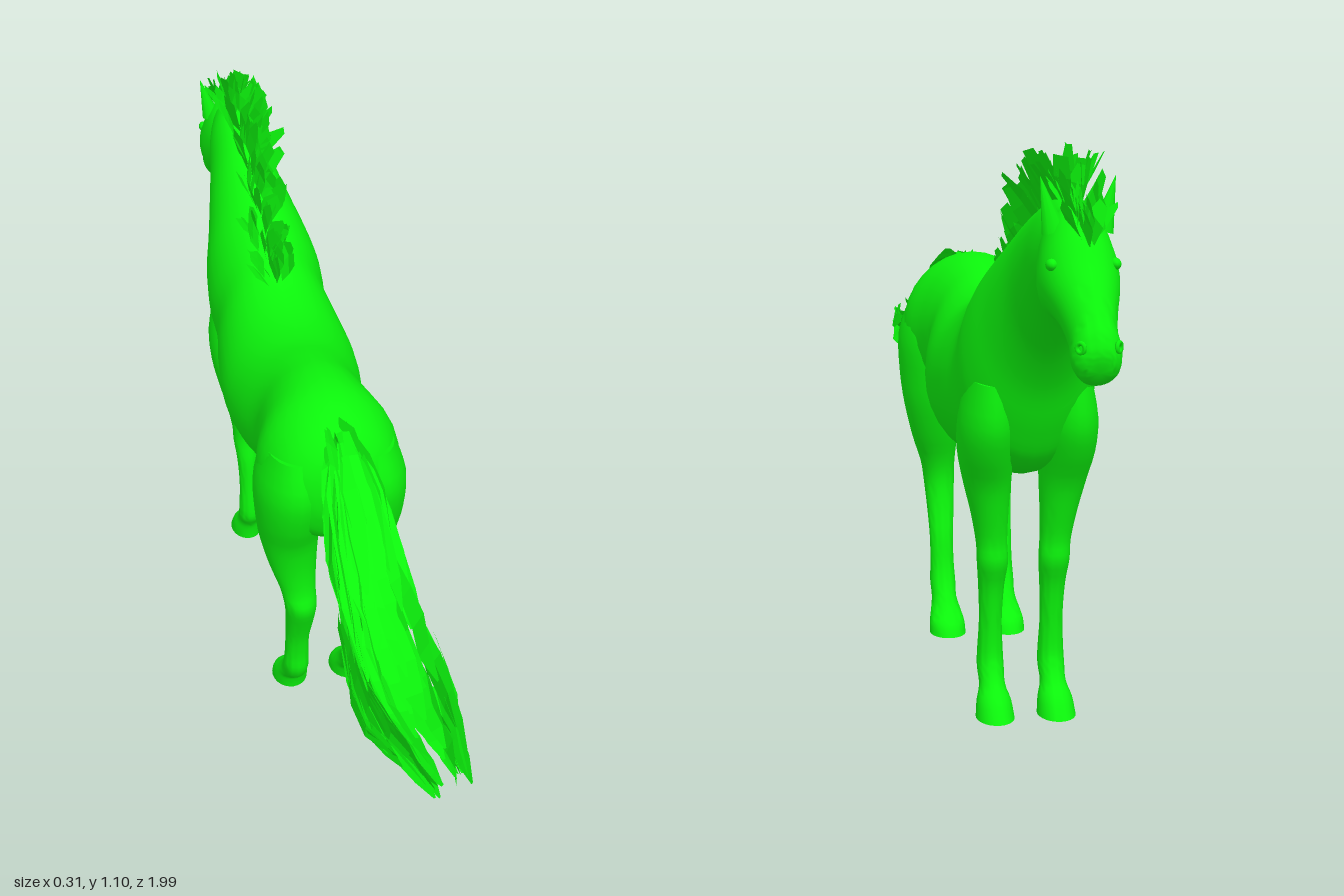
import * as THREE from 'three';
import { toCreasedNormals } from 'three/addons/utils/BufferGeometryUtils.js';

const skin = new THREE.MeshStandardMaterial({ color: 0x0cf40c });
const hair = new THREE.MeshStandardMaterial({ color: 0x0cf40c, side: THREE.DoubleSide });
const V = (x, y, z) => new THREE.Vector3(x, y, z);

function seeded(seed) {
  return () => {
    seed = (seed * 16807) % 2147483647;
    return seed / 2147483647;
  };
}

function mesh(name, geometry, material = skin) {
  const m = new THREE.Mesh(geometry, material);
  m.name = name;
  return m;
}

// Smooth loft through oval sections [zA, yA, zB, yB, halfWidth, centreX]
function loft(sections, side = 1, steps = 3, n = 24) {
  const curve = (pts) => new THREE.CatmullRomCurve3(pts, false, 'catmullrom', 0.5);
  const a = curve(sections.map((s) => V((s[5] ?? 0) * side, s[1], s[0])));
  const b = curve(sections.map((s) => V(s[4], s[3], s[2])));
  const rows = (sections.length - 1) * steps;
  const pos = [], index = [];
  const centre = (t) => {
    const p = a.getPoint(t), q = b.getPoint(t);
    return V(p.x, (p.y + q.y) / 2, (p.z + q.z) / 2);
  };
  for (let i = 0; i <= rows; i++) {
    const t = i / rows, p = a.getPoint(t), q = b.getPoint(t), c = centre(t);
    for (let j = 0; j < n; j++) {
      const ang = (j / n) * Math.PI * 2, s = Math.sin(ang);
      pos.push(c.x - q.x * Math.cos(ang), c.y + (p.y - c.y) * s, c.z + (p.z - c.z) * s);
      if (i === rows) continue;
      const k = i * n + j, l = i * n + ((j + 1) % n);
      index.push(k, l, k + n, l, l + n, k + n);
    }
  }
  const first = pos.length / 3;
  pos.push(...centre(0).toArray(), ...centre(1).toArray());
  for (let j = 0; j < n; j++) {
    const k = (j + 1) % n;
    index.push(first, k, j, first + 1, rows * n + j, rows * n + k);
  }
  const g = new THREE.BufferGeometry();
  g.setAttribute('position', new THREE.Float32BufferAttribute(pos, 3));
  g.setIndex(index);
  return toCreasedNormals(g, 0.9);
}

// Adds a flat lock of hair along a path
function ribbon(out, path, across, widths) {
  const edge = (i, s) => path[i].clone().addScaledVector(across, s * widths[i]);
  for (let i = 0; i < path.length - 1; i++) {
    const a = edge(i, -1), b = edge(i, 1), c = edge(i + 1, 1), d = edge(i + 1, -1);
    for (const p of [a, b, c, a, c, d]) out.push(p.x, p.y, p.z);
  }
}

function hairMesh(name, pos) {
  const g = new THREE.BufferGeometry();
  g.setAttribute('position', new THREE.Float32BufferAttribute(pos, 3));
  g.computeVertexNormals();
  return mesh(name, g, hair);
}

const HEAD_X = -0.012;

// Rump, barrel, chest and neck
const trunk = [
  [0.266, 0.72, 0.272, 0.65, 0.03], [0.245, 0.765, 0.262, 0.6, 0.08],
  [0.2, 0.807, 0.23, 0.54, 0.125], [0.13, 0.832, 0.14, 0.5, 0.147],
  [0.05, 0.832, 0.05, 0.505, 0.125], [-0.03, 0.815, -0.02, 0.49, 0.117],
  [-0.12, 0.793, -0.11, 0.458, 0.137], [-0.22, 0.79, -0.2, 0.448, 0.15],
  [-0.31, 0.81, -0.32, 0.453, 0.142], [-0.38, 0.845, -0.43, 0.465, 0.127],
  [-0.43, 0.875, -0.52, 0.5, 0.13], [-0.48, 0.905, -0.565, 0.57, 0.122, -0.004],
  [-0.54, 0.94, -0.6, 0.65, 0.103, -0.008], [-0.61, 0.978, -0.645, 0.72, 0.084, HEAD_X],
  [-0.68, 1.003, -0.695, 0.78, 0.07, HEAD_X], [-0.75, 1.017, -0.735, 0.82, 0.06, HEAD_X],
  [-0.81, 1.008, -0.77, 0.86, 0.045, HEAD_X],
];

// Poll to muzzle
const head = [
  [-0.74, 0.99, -0.71, 0.85, 0.045], [-0.82, 1.008, -0.75, 0.815, 0.06],
  [-0.865, 0.968, -0.79, 0.805, 0.068], [-0.9, 0.925, -0.835, 0.808, 0.062],
  [-0.935, 0.885, -0.88, 0.793, 0.049], [-0.968, 0.845, -0.912, 0.762, 0.04],
  [-0.99, 0.818, -0.932, 0.74, 0.042], [-1, 0.79, -0.962, 0.73, 0.035],
  [-0.997, 0.77, -0.98, 0.738, 0.02],
].map((s) => [...s, HEAD_X]);

const hindLeg = [
  [0.05, 0.72, 0.24, 0.74, 0.05, 0.08], [0.04, 0.64, 0.265, 0.66, 0.075, 0.08],
  [0.055, 0.56, 0.245, 0.57, 0.07, 0.084], [0.072, 0.5, 0.215, 0.5, 0.062, 0.084],
  [0.1, 0.43, 0.2, 0.42, 0.05, 0.078], [0.128, 0.37, 0.2, 0.36, 0.038, 0.07],
  [0.138, 0.32, 0.21, 0.32, 0.034, 0.066], [0.13, 0.26, 0.187, 0.26, 0.03, 0.065],
  [0.115, 0.2, 0.165, 0.2, 0.026, 0.066], [0.105, 0.14, 0.155, 0.14, 0.026, 0.066],
  [0.09, 0.1, 0.155, 0.1, 0.028, 0.066], [0.07, 0.07, 0.138, 0.065, 0.027, 0.066],
  [0.048, 0.045, 0.112, 0.04, 0.033, 0.066], [0.02, 0.025, 0.104, 0.02, 0.038, 0.066],
  [0.005, 0, 0.1, 0, 0.039, 0.066],
];

const frontLeg = [
  [-0.57, 0.66, -0.43, 0.68, 0.04, 0.075], [-0.573, 0.58, -0.405, 0.6, 0.053, 0.078],
  [-0.55, 0.52, -0.395, 0.53, 0.053, 0.078], [-0.515, 0.46, -0.405, 0.46, 0.045, 0.073],
  [-0.495, 0.4, -0.415, 0.4, 0.036, 0.067], [-0.48, 0.34, -0.42, 0.34, 0.03, 0.062],
  [-0.48, 0.3, -0.42, 0.3, 0.03, 0.06], [-0.462, 0.25, -0.41, 0.25, 0.025, 0.06],
  [-0.452, 0.18, -0.405, 0.18, 0.022, 0.06], [-0.45, 0.12, -0.397, 0.11, 0.025, 0.06],
  [-0.457, 0.09, -0.4, 0.08, 0.026, 0.06], [-0.475, 0.06, -0.42, 0.05, 0.025, 0.06],
  [-0.505, 0.035, -0.427, 0.025, 0.033, 0.06], [-0.53, 0, -0.43, 0, 0.037, 0.06],
];

// Upright locks along the crest, ending in the forelock
function mane() {
  const rnd = seeded(77), out = [];
  const crest = new THREE.CatmullRomCurve3([
    V(0, 0.81, -0.33), V(0, 0.86, -0.42), V(0, 0.925, -0.53), V(0, 0.975, -0.63),
    V(0, 1.0, -0.72), V(0, 1.0, -0.8), V(0, 0.955, -0.87)]);
  const count = 110;
  for (let i = 0; i < count; i++) {
    const t = i / (count - 1), root = crest.getPoint(t), along = crest.getTangent(t);
    const lean = (rnd() - 0.5) * 1.1;
    const length = (0.07 + 0.035 * Math.sin(t * Math.PI)) * (0.75 + 0.3 * rnd());
    const up = V(Math.sin(lean), along.z * -1 * Math.cos(lean), along.y * 0.6 * Math.cos(lean));
    root.x = HEAD_X + lean * 0.03;
    const mid = root.clone().addScaledVector(up, length * 0.55);
    const tip = root.clone().addScaledVector(up, length);
    tip.x += (rnd() - 0.5) * 0.02;
    tip.z += 0.015 * rnd();
    const across = along.clone().add(V((rnd() - 0.5) * 0.9, 0, 0)).normalize();
    ribbon(out, [root, mid, tip], across, [0.022, 0.024, 0.006 + 0.016 * rnd()]);
  }
  return hairMesh('mane', out);
}

// Overlapping locks streaming along the tail's curve
function tail() {
  const rnd = seeded(4242), out = [];
  const spine = new THREE.CatmullRomCurve3([
    V(0, 0.79, 0.19), V(0, 0.785, 0.29), V(0, 0.72, 0.4), V(0, 0.635, 0.52),
    V(0, 0.59, 0.64), V(0, 0.58, 0.78), V(0.01, 0.595, 0.9), V(0.015, 0.6, 0.99)]);
  const spread = new THREE.CatmullRomCurve3([
    V(0.02, 0.02, 0), V(0.035, 0.035, 0), V(0.06, 0.06, 0), V(0.075, 0.072, 0),
    V(0.088, 0.075, 0), V(0.088, 0.056, 0), V(0.06, 0.045, 0), V(0.04, 0.03, 0)]);
  for (let i = 0; i < 170; i++) {
    const ang = rnd() * Math.PI * 2, r = Math.sqrt(0.15 + 0.85 * rnd());
    const start = rnd() * 0.66, length = 0.24 + 0.12 * rnd(), path = [];
    for (let k = 0; k <= 4; k++) {
      const t = Math.min(1, start + (length * k) / 4);
      const p = spine.getPoint(t), s = spread.getPoint(t);
      const n = spine.getTangent(t).cross(V(-1, 0, 0));
      p.addScaledVector(n, Math.sin(ang) * r * s.y);
      p.x += Math.cos(ang) * r * s.x + (rnd() - 0.5) * 0.012;
      path.push(p);
    }
    const twist = ang + Math.PI / 2 + (rnd() - 0.5) * 1.4;
    const across = V(Math.cos(twist), Math.sin(twist), 0.2 * (rnd() - 0.5));
    const w = 0.011 + 0.008 * rnd();
    ribbon(out, path, across, [w * 0.5, w, w * 1.1, w, w * 0.15]);
  }
  return hairMesh('tail', out);
}

export function createModel() {
  const horse = new THREE.Group();
  horse.name = 'horse';
  horse.add(mesh('trunkAndNeck', loft(trunk, 1, 4, 32)), mesh('head', loft(head, 1, 4, 28)));

  for (const [side, label] of [[1, 'left'], [-1, 'right']]) {
    horse.add(mesh(label + 'HindLeg', loft(hindLeg, side)));
    horse.add(mesh(label + 'FrontLeg', loft(frontLeg, side)));

    // Pointed ear, leaning outward
    const ear = mesh(label + 'Ear', new THREE.ConeGeometry(0.021, 0.095, 10));
    ear.position.set(HEAD_X + side * 0.052, 1.01, -0.825);
    ear.rotation.z = -side * 0.25;
    ear.scale.z = 0.75;

    // Eye under the brow, and nostril rim
    const eye = mesh(label + 'Eye', new THREE.SphereGeometry(0.013, 12, 8));
    eye.position.set(HEAD_X + side * 0.053, 0.914, -0.868);
    eye.scale.set(0.8, 0.8, 1.2);
    const nostril = mesh(label + 'Nostril', new THREE.TorusGeometry(0.008, 0.004, 6, 12));
    nostril.position.set(HEAD_X + side * 0.031, 0.795, -0.986);
    nostril.rotation.y = -side * 0.9;
    horse.add(ear, eye, nostril);
  }

  horse.add(mane(), tail());
  return horse;
}
